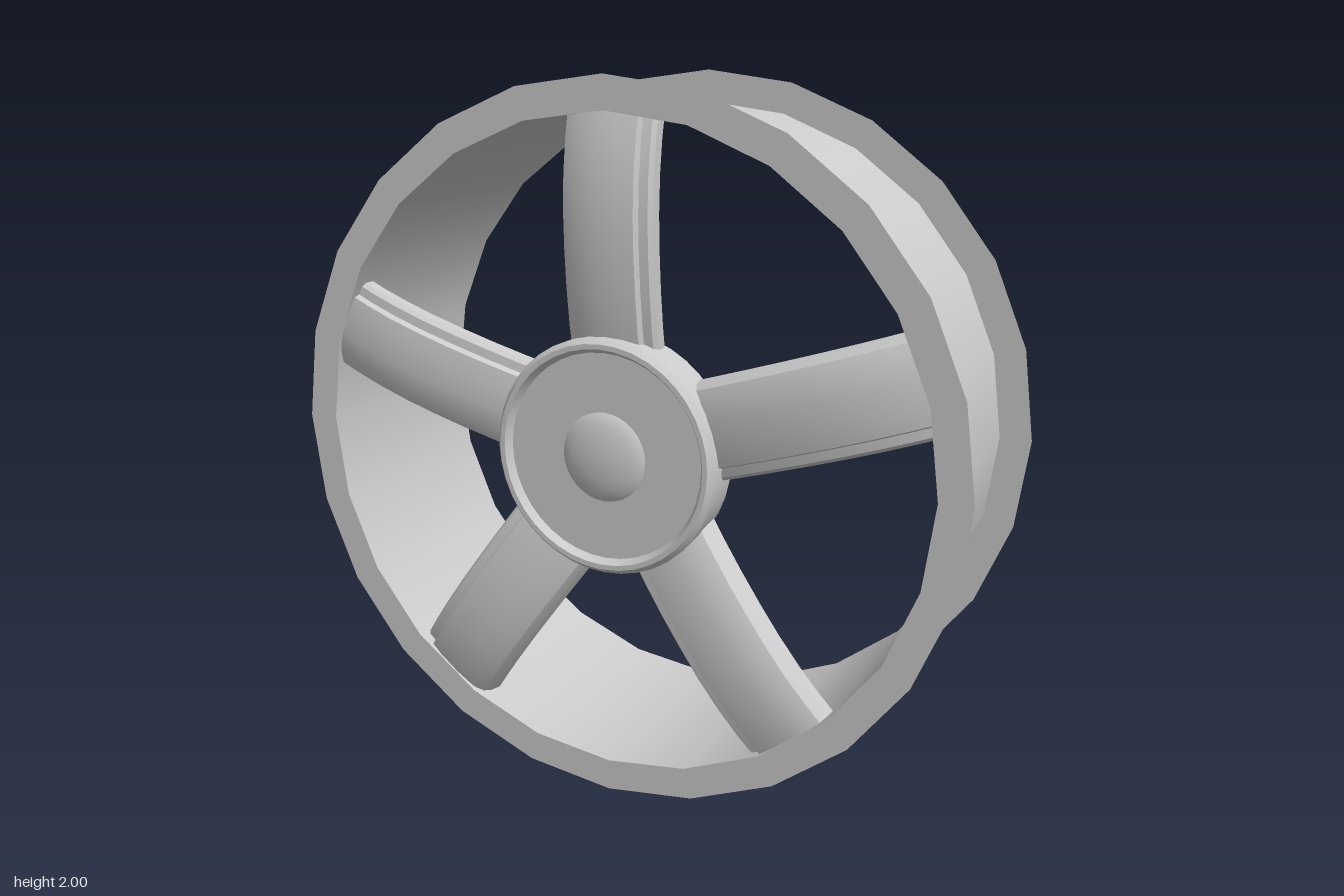
import * as THREE from 'three';
import { toCreasedNormals } from 'three/addons/utils/BufferGeometryUtils.js';

const SEGMENTS = 24;
const BARREL_R = 0.91;
const FRONT_Z = 0.31;
const BACK_Z = -0.345;

// Spoke section (x, z): flat back, rounded front, stepped ledge along the +x edge
const SECTION = [
  [-0.135, 0.215], [0.135, 0.215], [0.135, 0.25], [0.125, 0.262], [0.1, 0.265], [0.094, 0.284],
  [0.05, 0.291], [-0.02, 0.293], [-0.08, 0.287], [-0.115, 0.273], [-0.128, 0.25],
];
// Stations along the spoke: radius, forward bow
const STATIONS = [
  [0.27, 0.005], [0.35, 0.02], [0.45, 0.033], [0.55, 0.041], [0.65, 0.044],
  [0.75, 0.039], [0.84, 0.026], [0.91, 0.01], [0.945, 0],
];

function spokeGeometry() {
  const n = SECTION.length;
  const positions = [];
  const indices = [];
  for (const [r, bow] of STATIONS) {
    for (const [x, z] of SECTION) positions.push(x, r, z + bow);
  }
  for (let s = 0; s < STATIONS.length - 1; s++) {
    for (let i = 0; i < n; i++) {
      const j = (i + 1) % n;
      const a = s * n + i, b = s * n + j, c = a + n, d = b + n;
      indices.push(a, c, b, b, c, d);
    }
  }
  // End caps
  const top = (STATIONS.length - 1) * n;
  for (let i = 1; i < n - 1; i++) {
    indices.push(0, i, i + 1, top, top + i + 1, top + i);
  }
  const geometry = new THREE.BufferGeometry();
  geometry.setAttribute('position', new THREE.Float32BufferAttribute(positions, 3));
  geometry.setIndex(indices);
  return toCreasedNormals(geometry, 0.5);
}

// Revolves a (radius, z) profile about the wheel axis
function turned(profile, segments) {
  const points = profile.map(([r, z]) => new THREE.Vector2(r, z));
  const geometry = new THREE.LatheGeometry(points, segments).rotateX(Math.PI / 2);
  return toCreasedNormals(geometry, 0.5);
}

export function createModel() {
  const model = new THREE.Group();
  const wheel = new THREE.Group();
  wheel.name = 'wheel';
  wheel.position.y = 1;
  model.add(wheel);

  const solid = new THREE.MeshStandardMaterial({ color: 0xcccccc });
  const thin = new THREE.MeshStandardMaterial({ color: 0xcccccc, side: THREE.DoubleSide });

  function add(name, geometry, material = solid) {
    const mesh = new THREE.Mesh(geometry, material);
    mesh.name = name;
    wheel.add(mesh);
    return mesh;
  }

  // Open barrel
  const barrel = new THREE.CylinderGeometry(BARREL_R, BARREL_R, FRONT_Z - BACK_Z, SEGMENTS, 1, true);
  barrel.rotateX(Math.PI / 2).translate(0, 0, (FRONT_Z + BACK_Z) / 2);
  add('barrel', barrel, thin);

  // Flat flanges at both ends of the barrel
  for (const [name, z] of [['frontFlange', FRONT_Z], ['backFlange', BACK_Z]]) {
    add(name, new THREE.RingGeometry(BARREL_R, 1, SEGMENTS), thin).position.z = z;
  }

  // Five bowed spokes whose ends poke through the barrel
  const spoke = spokeGeometry();
  for (let i = 0; i < 5; i++) {
    add('spoke' + (i + 1), spoke).rotation.z = (i * Math.PI * 2) / 5;
  }

  // Hub disc with raised lip and recessed face
  add('hub', turned([
    [0, 0.21], [0.325, 0.21], [0.328, 0.325], [0.314, 0.342], [0.3, 0.342],
    [0.287, 0.32], [0, 0.32],
  ], 40));

  // Shallow domed centre cap
  add('centreCap', turned([
    [0.127, 0.318], [0.115, 0.327], [0.09, 0.335], [0.06, 0.341], [0.03, 0.344], [0, 0.345],
  ], 32));

  return model;
}
